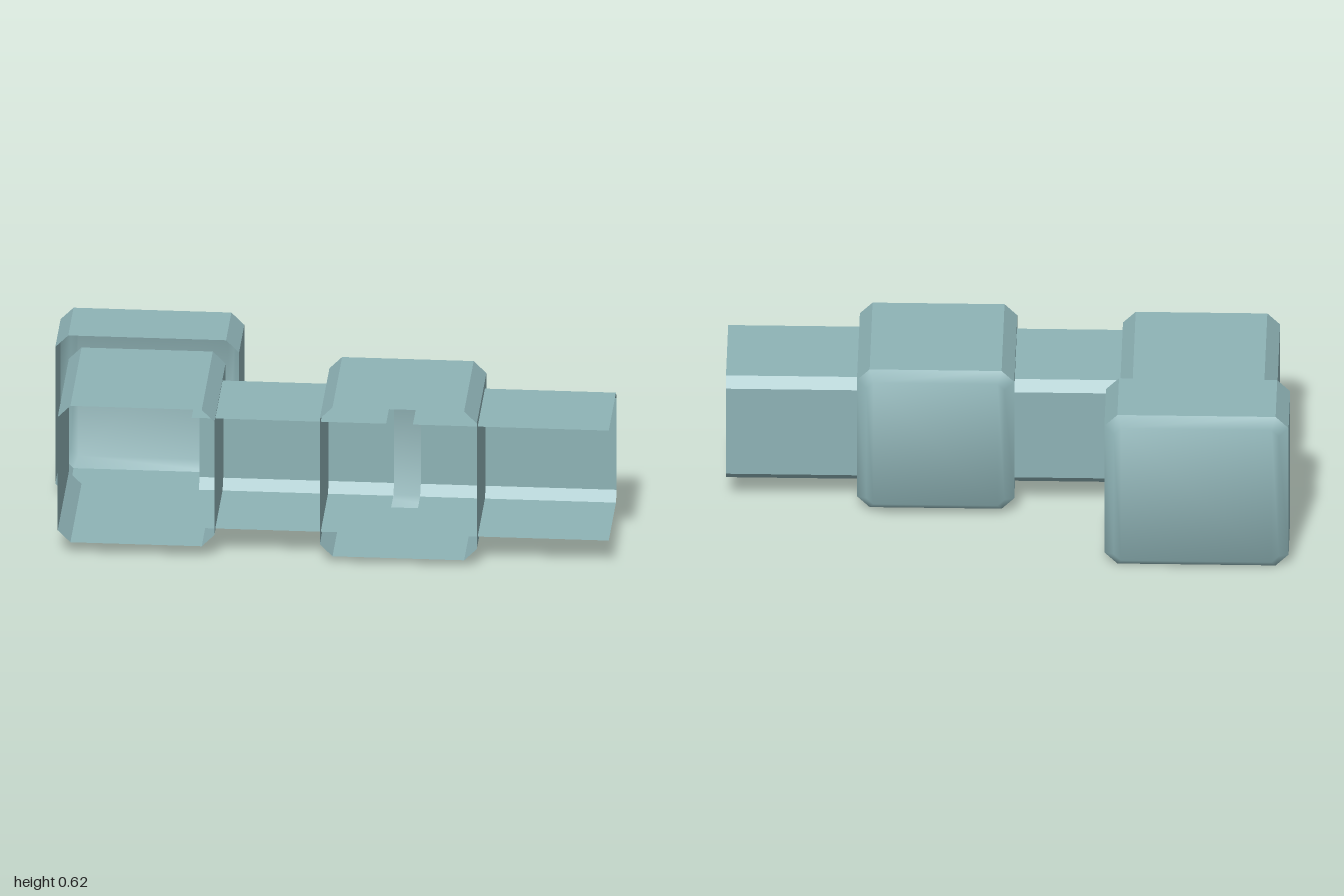
import * as THREE from 'three';
import { toCreasedNormals } from 'three/addons/utils/BufferGeometryUtils.js';

// Chamfered rectangle as a ring of 8 points in the plane z
function octagon(l, r, b, t, c, z) {
  return [[r, t - c], [r - c, t], [l + c, t], [l, t - c], [l, b + c], [l + c, b], [r - c, b], [r, b + c]]
    .map(([x, y]) => [x, y, z]);
}

// Triangles joining two matching rows of points
function band(a, b, closed) {
  const tris = [];
  for (let i = 0; i < (closed ? a.length : a.length - 1); i++) {
    const j = (i + 1) % a.length;
    tris.push(a[i], a[j], b[j], a[i], b[j], b[i]);
  }
  return tris;
}

function toGeometry(points) {
  const g = new THREE.BufferGeometry();
  g.setAttribute('position', new THREE.Float32BufferAttribute(points.flat(), 3));
  g.computeVertexNormals();
  return g;
}

export function createModel() {
  const group = new THREE.Group();
  const teal = new THREE.MeshStandardMaterial({ color: 0x8eb3b6, side: THREE.DoubleSide });
  teal.name = 'greyTeal';

  function add(name, geometry) {
    const mesh = new THREE.Mesh(geometry, teal);
    mesh.name = name;
    group.add(mesh);
  }

  // Open chamfered tube running along z
  function sleeve(name, l, r, b, t, c, front, back) {
    add(name, toGeometry(band(octagon(l, r, b, t, c, back), octagon(l, r, b, t, c, front), true)));
  }

  // Bevelled, softly shaded back panel closing a sleeve
  function backPanel(name, l, r, b, t, c, z, d) {
    const outer = octagon(l, r, b, t, c, z);
    const p = octagon(l + d, r - d, b + d, t - d, c - d * 0.586, z - d);
    const tris = band(p, outer, true);
    for (let i = 0; i < 3; i++) tris.push(p[i], p[7 - i], p[6 - i], p[i], p[6 - i], p[i + 1]);
    add(name, toCreasedNormals(toGeometry(tris), Math.PI / 2));
  }

  // Channel along x, open at the front and at both ends
  function channel(name, x0, x1) {
    const profile = [[0.10, 0.355], [0.10, 0.02], [0.135, -0.013], [0.49, -0.013], [0.525, 0.02], [0.525, 0.355]];
    const row = x => profile.map(([y, z]) => [x, y, z]);
    add(name, toGeometry(band(row(x0), row(x1), false)));
  }

  // End housing: wide back box with a narrower sleeve in front
  sleeve('endBoxWall', -1, -0.348, 0, 0.62, 0.046, -0.118, -0.363);
  backPanel('endBoxBack', -1, -0.348, 0, 0.62, 0.046, -0.363, 0.034);
  sleeve('endSleeve', -0.952, -0.396, 0.048, 0.575, 0.045, 0.397, -0.118);

  // Middle housing
  sleeve('middleBoxWall', -0.022, 0.535, 0.025, 0.6, 0.045, 0.397, -0.048);
  backPanel('middleBoxBack', -0.022, 0.535, 0.025, 0.6, 0.045, -0.048, 0.034);

  // Connecting channels
  channel('innerChannel', -0.48, 0.21);
  channel('outerChannel', 0.305, 1);

  return group;
}
